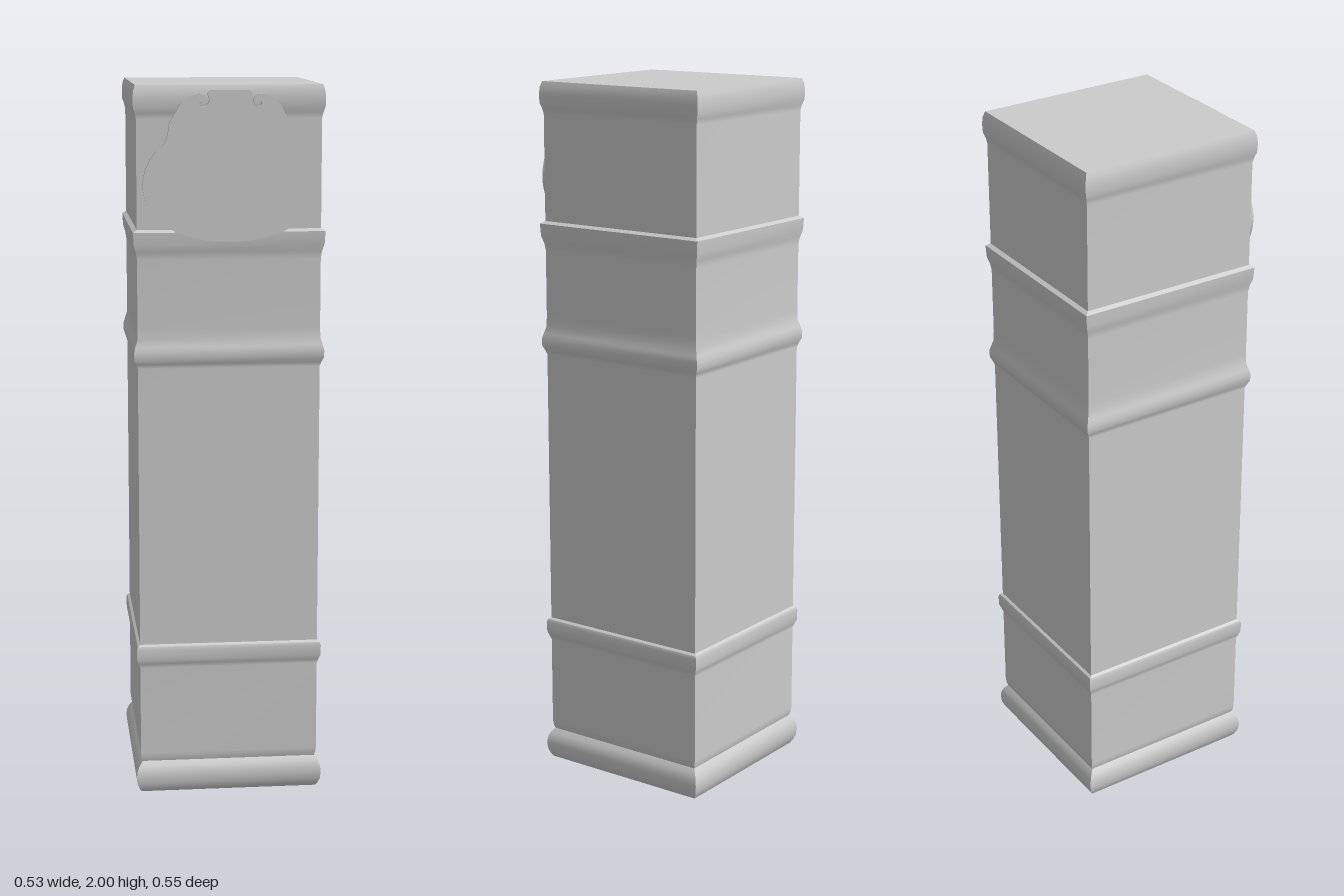
import * as THREE from 'three';

const DEPTH_EXTRA = 0.0075; // the post is slightly deeper than wide
const Z_SHIFT = -0.0045;
const CORNERS = [[-1, 1], [1, 1], [1, -1], [-1, -1]];

// Four mitred sides following a [halfWidth, y] profile, smooth up each side
function squareSweep(profile) {
  const pos = [], idx = [];
  for (let s = 0; s < 4; s++) {
    const ends = [CORNERS[s], CORNERS[(s + 1) % 4]];
    const base = pos.length / 3;
    profile.forEach(([w, y], i) => {
      for (const [cx, cz] of ends) pos.push(cx * w, y, cz * (w + DEPTH_EXTRA) + Z_SHIFT);
      if (i) {
        const a = base + (i - 1) * 2;
        idx.push(a, a + 1, a + 3, a, a + 3, a + 2);
      }
    });
  }
  const g = new THREE.BufferGeometry();
  g.setAttribute('position', new THREE.Float32BufferAttribute(pos, 3));
  g.setIndex(idx);
  g.computeVertexNormals();
  return g;
}

// Scalloped badge outline, right half mirrored to the left
function badgeShape() {
  const lower = [[0, 1.58], [0.06, 1.583], [0.12, 1.597], [0.165, 1.617], [0.205, 1.648],
    [0.228, 1.69], [0.236, 1.735], [0.225, 1.785], [0.2, 1.825]];
  const middle = [[0.2, 1.825], [0.178, 1.845], [0.168, 1.87], [0.163, 1.9], [0.145, 1.93]];
  const upper = [[0.145, 1.93], [0.13, 1.955], [0.105, 1.973], [0.08, 1.977], [0.066, 1.968],
    [0.064, 1.955], [0.074, 1.95], [0.082, 1.958], [0.085, 1.95], [0.076, 1.942], [0.062, 1.947],
    [0.056, 1.962], [0.06, 1.978], [0.05, 1.988]];
  const half = [];
  for (const part of [lower, middle, upper]) {
    const curve = new THREE.SplineCurve(part.map(p => new THREE.Vector2(...p)));
    half.push(...curve.getPoints(part.length * 3).slice(half.length ? 1 : 0));
  }
  const mirrored = half.slice(1).reverse().map(p => new THREE.Vector2(-p.x, p.y));
  return new THREE.Shape([...half, ...mirrored]);
}

export function createModel() {
  const group = new THREE.Group();
  const shell = new THREE.MeshStandardMaterial({ color: 0xcccccc, side: THREE.DoubleSide });
  const add = (name, geometry, material = shell) => {
    const mesh = new THREE.Mesh(geometry, material);
    mesh.name = name;
    group.add(mesh);
    return mesh;
  };

  // Hollow post, open underneath; each section ends at a sharp edge
  const sections = {
    baseMoulding: [[0.251, 0], [0.257, 0.01], [0.263, 0.025], [0.265, 0.045], [0.263, 0.062],
      [0.257, 0.077], [0.247, 0.09]],
    lowerPanel: [[0.247, 0.09], [0.25, 0.1], [0.252, 0.115], [0.252, 0.37], [0.256, 0.382],
      [0.261, 0.395], [0.262, 0.425], [0.259, 0.434]],
    lowerLedge: [[0.259, 0.434], [0.252, 0.439]],
    shaft: [[0.252, 0.439], [0.252, 1.23], [0.256, 1.242], [0.262, 1.255], [0.263, 1.275],
      [0.259, 1.29], [0.253, 1.31], [0.252, 1.34], [0.252, 1.53], [0.255, 1.55], [0.261, 1.57],
      [0.263, 1.605]],
    upperLedge: [[0.263, 1.605], [0.252, 1.612]],
    head: [[0.252, 1.612], [0.252, 1.91], [0.255, 1.925], [0.26, 1.94], [0.261, 1.965],
      [0.259, 1.985], [0.254, 2]],
  };
  for (const [name, profile] of Object.entries(sections)) add(name, squareSweep(profile));

  // Flat top
  const cap = new THREE.PlaneGeometry(0.508, 0.508 + 2 * DEPTH_EXTRA).rotateX(-Math.PI / 2);
  add('topCap', cap).position.set(0, 2, Z_SHIFT);

  // Badge on the front of the head
  const badge = new THREE.ExtrudeGeometry(badgeShape(), { depth: 0.014, bevelEnabled: false });
  add('badge', badge, new THREE.MeshStandardMaterial({ color: 0xcccccc })).position.z = 0.263;

  return group;
}
